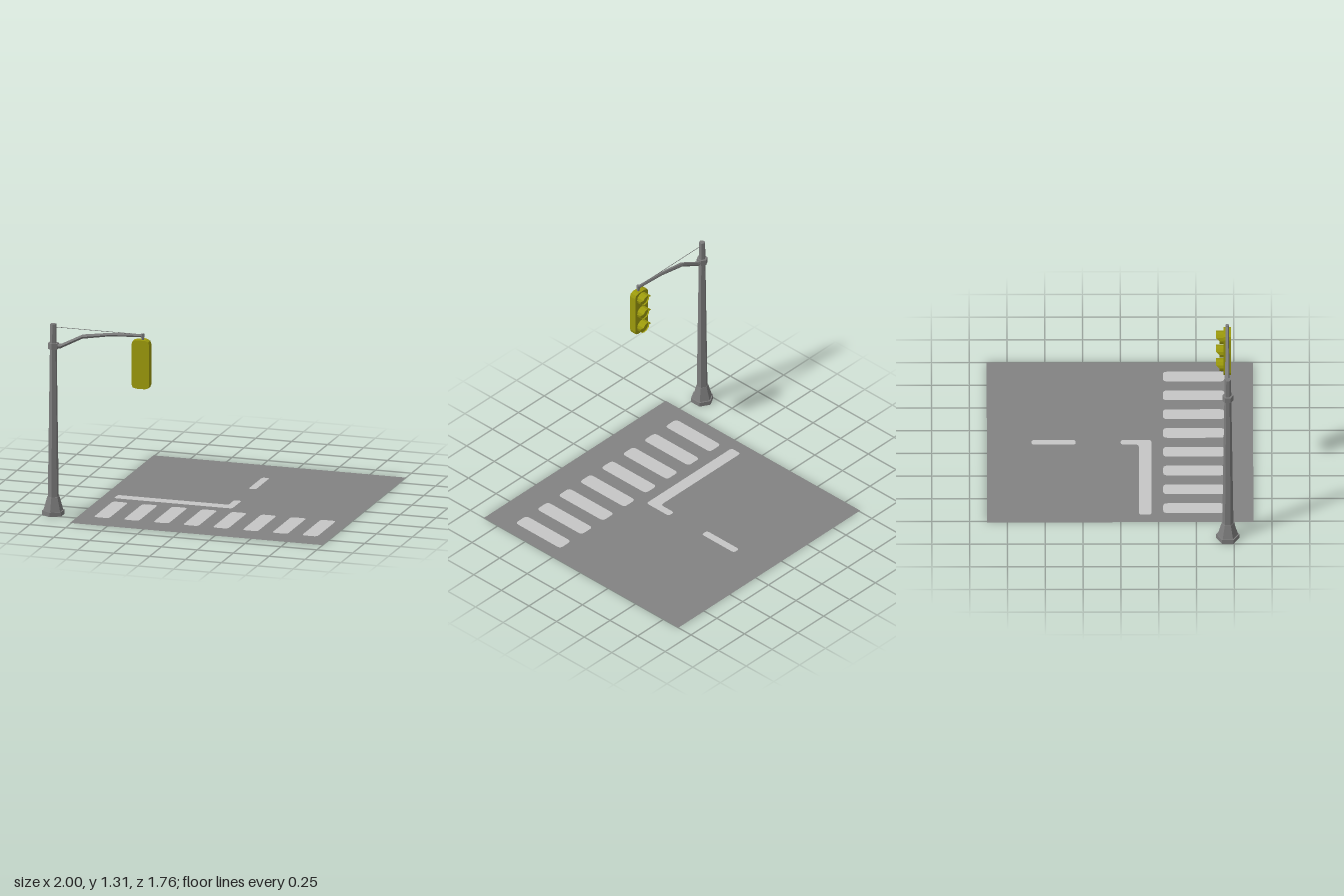
import * as THREE from 'three';

const mat = (name, color, side = THREE.FrontSide) => {
  const m = new THREE.MeshStandardMaterial({ color, side, flatShading: true });
  m.name = name;
  return m;
};

// Closed outline with every corner softened by r
function softShape(pts, r) {
  const v = pts.map(([x, y]) => new THREE.Vector2(x, y));
  const shape = new THREE.Shape();
  v.forEach((p, i) => {
    const toward = (q) => p.clone().add(q.clone().sub(p).setLength(r));
    const a = toward(v[(i + v.length - 1) % v.length]);
    const b = toward(v[(i + 1) % v.length]);
    if (i === 0) shape.moveTo(a.x, a.y);
    else shape.lineTo(a.x, a.y);
    shape.quadraticCurveTo(p.x, p.y, b.x, b.y);
  });
  shape.closePath();
  return shape;
}
const rect = (x0, x1, y0, y1) => [[x0, y0], [x1, y0], [x1, y1], [x0, y1]];

export function createModel() {
  const model = new THREE.Group();
  model.name = 'streetCrossing';
  const asphalt = mat('asphalt grey', 0x828282, THREE.DoubleSide);
  const paint = mat('road paint', 0xc6c6c6, THREE.DoubleSide);
  const metal = mat('pole grey', 0x7c7c7c);
  const yellow = mat('signal yellow', 0x9c9a0c, THREE.DoubleSide);

  const add = (parent, name, geometry, material, x = 0, y = 0, z = 0) => {
    const mesh = new THREE.Mesh(geometry, material);
    mesh.name = name;
    mesh.position.set(x, y, z);
    parent.add(mesh);
    return mesh;
  };

  // Road markings, drawn with y = -z: crosswalk bars, stop line with turn, lane dash
  const marks = [];
  for (let i = 0; i < 8; i++) {
    const x = -0.658 + i * 0.207;
    marks.push(['crosswalkBar', softShape(rect(x, x + 0.107, -0.687, -0.281), 0.028)]);
  }
  marks.push(['stopLine', softShape([[-0.677, -0.203], [0.147, -0.203], [0.147, 0],
    [0.095, 0], [0.095, -0.12], [-0.677, -0.12]], 0.022)]);
  marks.push(['laneDash', softShape(rect(0.095, 0.147, 0.297, 0.59), 0.022)]);

  // Road sheet with the markings set flush into it
  const road = new THREE.Shape(rect(-0.76, 1, -0.877, 0.885).map(([x, y]) => new THREE.Vector2(x, y)));
  marks.forEach(([, s]) => road.holes.push(new THREE.Path(s.getPoints(4))));
  add(model, 'road', new THREE.ShapeGeometry(road, 4).rotateX(-Math.PI / 2), asphalt);
  marks.forEach(([name, s]) =>
    add(model, name, new THREE.ShapeGeometry(s, 4).rotateX(-Math.PI / 2), paint));

  // Hexagonal pole: foot, flare, shaft and collar
  const PX = -0.932, PZ = 0.708;
  const pole = new THREE.Group();
  pole.name = 'pole';
  pole.position.set(PX, 0, PZ);
  model.add(pole);
  const hex = (name, rTop, rBottom, y0, y1) =>
    add(pole, name, new THREE.CylinderGeometry(rTop, rBottom, y1 - y0, 6), metal, 0, (y0 + y1) / 2);
  hex('foot', 0.077, 0.077, 0, 0.03);
  hex('flare', 0.041, 0.068, 0.03, 0.125);
  hex('shaft', 0.021, 0.037, 0.125, 1.308);
  hex('collar', 0.037, 0.037, 1.137, 1.177);

  // Tapered arm: each ring of a cylinder is moved onto a point of the path
  const path = [[-0.315, 1.279, 0.011], [-0.535, 1.267, 0.012], [-0.73, 1.236, 0.015], [-0.88, 1.158, 0.016], [-0.93, 1.155, 0.016]];
  const arm = new THREE.CylinderGeometry(1, 1, 1, 6, path.length - 1);
  const p = arm.attributes.position;
  for (let i = 0; i < p.count; i++) {
    const [x, y, r] = path[Math.round((0.5 - p.getY(i)) * (path.length - 1))];
    p.setXYZ(i, x, y - p.getX(i) * r, p.getZ(i) * r);
  }
  arm.computeVertexNormals();
  add(model, 'arm', arm, metal, 0, 0, PZ - 0.003);
  add(model, 'stayWire', new THREE.CylinderGeometry(0.002, 0.002, 0.62, 5).rotateZ(Math.PI / 2),
    metal, -0.615, 1.286, PZ - 0.003);

  // Hanging signal, facing the road at -z
  const signal = new THREE.Group();
  signal.name = 'signal';
  signal.position.set(-0.319, 1.084, 0.705);
  model.add(signal);
  add(signal, 'hanger', new THREE.CylinderGeometry(0.008, 0.008, 0.045, 6), metal, 0.008, 0.184, 0);
  add(signal, 'armTip', new THREE.CylinderGeometry(0.013, 0.013, 0.026, 6), metal, 0.008, 0.195, 0);
  const caseGeo = new THREE.ExtrudeGeometry(softShape(rect(-0.062, 0.062, -0.166, 0.166), 0.03),
    { depth: 0.047, bevelEnabled: false, curveSegments: 2 });
  add(signal, 'housing', caseGeo, yellow, 0, 0, -0.0235);

  // Lamp hoods: short tubes whose front reaches further out at the top
  const hood = new THREE.CylinderGeometry(0.044, 0.044, 0.03, 12, 1, true).rotateX(-Math.PI / 2);
  const h = hood.attributes.position;
  for (let i = 0; i < h.count; i++) {
    const reach = 0.028 + 0.024 * THREE.MathUtils.clamp(h.getY(i) / 0.022, 0, 1);
    h.setZ(i, h.getZ(i) < 0 ? -reach : 0);
  }
  hood.computeVertexNormals();
  const lens = new THREE.CircleGeometry(0.043, 12).rotateY(Math.PI);
  [0.114, 0, -0.112].forEach((y) => {
    add(signal, 'hood', hood, yellow, 0, y, -0.0235);
    add(signal, 'lens', lens, yellow, 0, y, -0.042);
  });
  return model;
}
